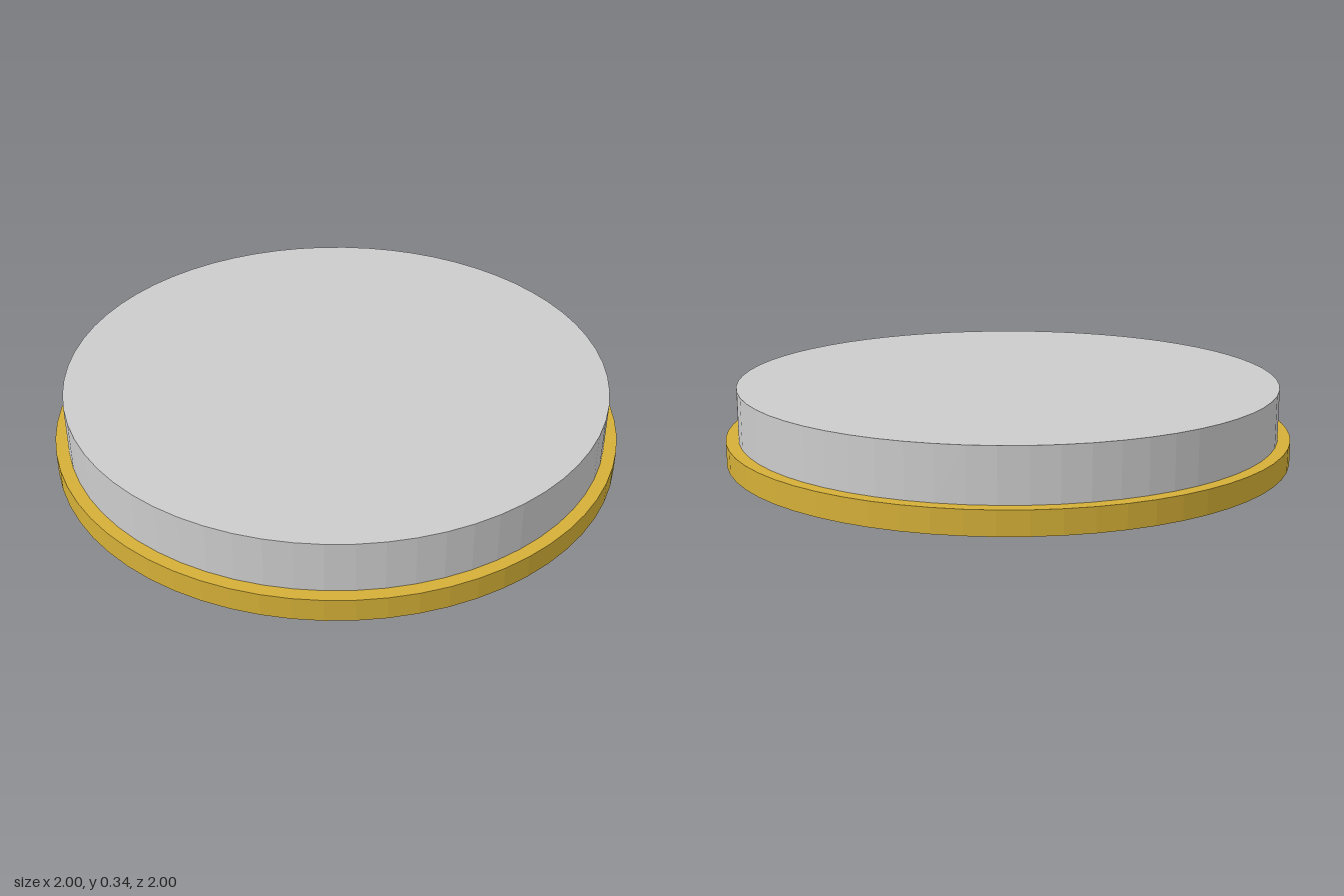
import * as THREE from 'three';

const material = (color) => new THREE.MeshStandardMaterial({ color, flatShading: true });

export function createModel() {
  const model = new THREE.Group();
  const silver = material(0xc0c0c0);
  const gold = material(0xd4af37);
  const black = material(0x2a2a2c);

  const add = (name, geometry, mat, x, y, z) => {
    const mesh = new THREE.Mesh(geometry, mat);
    mesh.name = name;
    mesh.position.set(x, y, z);
    model.add(mesh);
    return mesh;
  };

  // Upright cylinder between two heights
  const disc = (name, radius, bottom, top, mat) =>
    add(name, new THREE.CylinderGeometry(radius, radius, top - bottom, 64), mat, 0, (bottom + top) / 2, 0);

  // Wide rim plate with the thicker body disc on top
  disc('rimPlate', 1, 0.08, 0.162, gold);
  disc('bodyDisc', 0.956, 0.162, 0.343, silver);

  // Shallow oval bulge under the plate
  const profile = [];
  for (let i = 0; i <= 8; i++) {
    const r = i / 8;
    profile.push(new THREE.Vector2(r, -0.017 * (1 - r * r)));
  }
  const bulge = add('undersideBulge', new THREE.LatheGeometry(profile, 48), silver, 0, 0.08, 0.04);
  bulge.scale.set(0.38, 1, 0.26);

  // Two bars below the bulge
  add('frontBar', new THREE.BoxGeometry(0.62, 0.042, 0.085), black, 0, 0.021, 0.155);
  add('backBar', new THREE.BoxGeometry(0.68, 0.042, 0.105), black, 0, 0.021, -0.168);

  return model;
}
